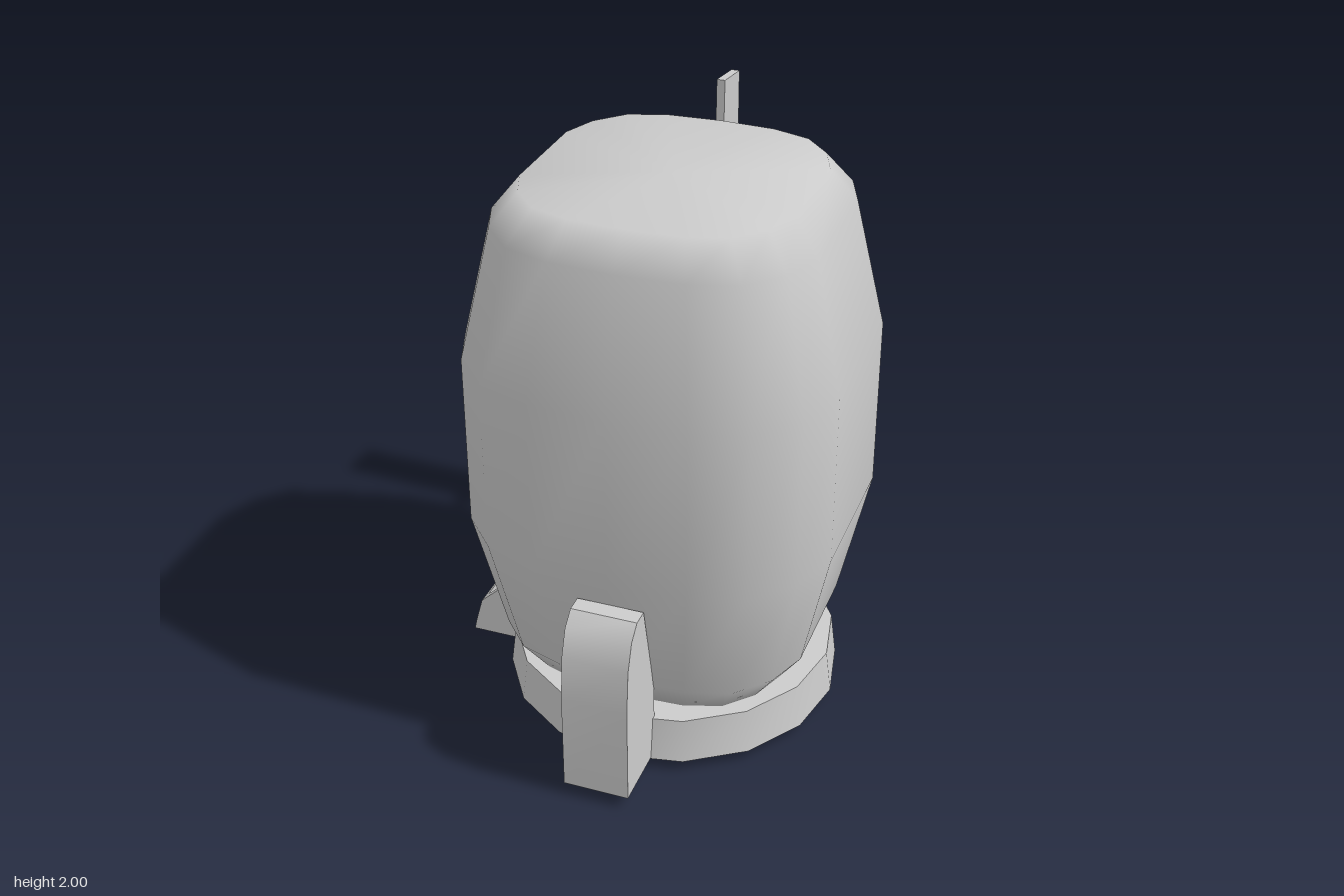
import * as THREE from 'three';
import { toCreasedNormals } from 'three/addons/utils/BufferGeometryUtils.js';

const CX = 0.05, CZ = 0.07;
const material = new THREE.MeshStandardMaterial({ color: 0xcccccc });

function part(name, geometry) {
  const mesh = new THREE.Mesh(geometry, material);
  mesh.name = name;
  return mesh;
}

// Extrudes an (x, y) outline along z from z0 to z1
function extrude(points, z0, z1) {
  const shape = new THREE.Shape(points.map(p => new THREE.Vector2(...p)));
  const g = new THREE.ExtrudeGeometry(shape, { depth: z1 - z0, bevelEnabled: false });
  return g.translate(0, 0, z0);
}

// Extrudes a (z, y) outline along x from x0 to x1
function extrudeSide(points, x0, x1) {
  return extrude(points, 0, x1 - x0).rotateY(-Math.PI / 2).translate(x1, 0, 0);
}

// Barrel: a rounded-square cross-section scaled through a bulging profile
function bodyGeometry() {
  const quarter = [[0.64, 0.27], [0.575, 0.44], [0.45, 0.575], [0.265, 0.635]];
  const section = [
    ...quarter,
    [0, 0.65],
    ...quarter.map(([x, z]) => [-x, z]).reverse(),
    ...quarter.map(([x, z]) => [-x, -z]),
    [0, -0.65],
    ...quarter.map(([x, z]) => [x, -z]).reverse(),
  ];
  const levels = [[0.2, 0.71], [0.33, 0.845], [0.79, 1], [1.4, 1], [1.85, 0.845], [1.96, 0.71]];
  const n = section.length, pos = [], index = [];
  for (const [y, s] of levels)
    for (const [x, z] of section) pos.push(CX + x * s, y, CZ + z * s);
  const bottom = pos.length / 3, top = bottom + 1, last = (levels.length - 1) * n;
  pos.push(CX, 0.2, CZ, CX, 1.96, CZ);
  for (let j = 0; j < n; j++) {
    const k = (j + 1) % n;
    for (let i = 0; i < last; i += n)
      index.push(i + j, i + n + j, i + k, i + k, i + n + j, i + n + k);
    index.push(top, last + k, last + j, bottom, j, k);
  }
  const g = new THREE.BufferGeometry();
  g.setAttribute('position', new THREE.Float32BufferAttribute(pos, 3));
  g.setIndex(index);
  g.computeVertexNormals();
  return g;
}

export function createModel() {
  const model = new THREE.Group();
  model.name = 'barrel';
  model.add(part('body', bodyGeometry()));

  // Tapered base disc
  const base = new THREE.CylinderGeometry(0.575, 0.595, 0.16, 16).translate(CX, 0.12, CZ);
  model.add(part('base', toCreasedNormals(base, 0.6)));

  // Rounded foot against the front
  const foot = extrudeSide([
    [0.6, 0.045], [0.86, 0.045], [0.86, 0.4], [0.845, 0.56], [0.81, 0.655],
    [0.76, 0.7], [0.7, 0.7], [0.61, 0.33],
  ], -0.06, 0.17);
  model.add(part('frontFoot', toCreasedNormals(foot, 0.7)));

  // Side latch: two solid cheeks around a slotted middle
  const latch = new THREE.Group();
  latch.name = 'sideLatch';
  const lower = [[-0.4, 0.055], [-0.4, 0.3], [-0.46, 0.29], [-0.59, 0.26]];
  const upper = [[-0.665, 0.19], [-0.69, 0.1], [-0.7, 0.055]];
  const slot = [[-0.61, 0.241], [-0.61, 0.17], [-0.65, 0.15], [-0.65, 0.204]];
  const solid = [...lower, ...upper];
  const slotted = [...lower, ...slot, ...upper];
  latch.add(
    part('latchCheek', toCreasedNormals(extrude(solid, -0.04, -0.01), 0.5)),
    part('latchMiddle', toCreasedNormals(extrude(slotted, -0.01, 0.16), 0.5)),
    part('latchCheek', toCreasedNormals(extrude(solid, 0.16, 0.19), 0.5)),
  );
  model.add(latch);

  // Tall thin plank behind, leaning slightly sideways
  const plank = extrudeSide(
    [[-0.655, 2], [-0.63, 0.01], [-0.86, 0], [-0.818, 1.98]], -0.067, -0.037);
  const p = plank.attributes.position;
  for (let i = 0; i < p.count; i++) p.setX(i, p.getX(i) + 0.005 * p.getY(i));
  plank.computeVertexNormals();
  model.add(part('plank', plank));

  // Triangular fin beside the plank
  model.add(part('fin', extrudeSide(
    [[-0.84, 1.35], [-0.83, 1.305], [-0.8, 1.09], [-0.59, 1.265], [-0.585, 1.29]],
    -0.105, -0.075)));

  return model;
}
